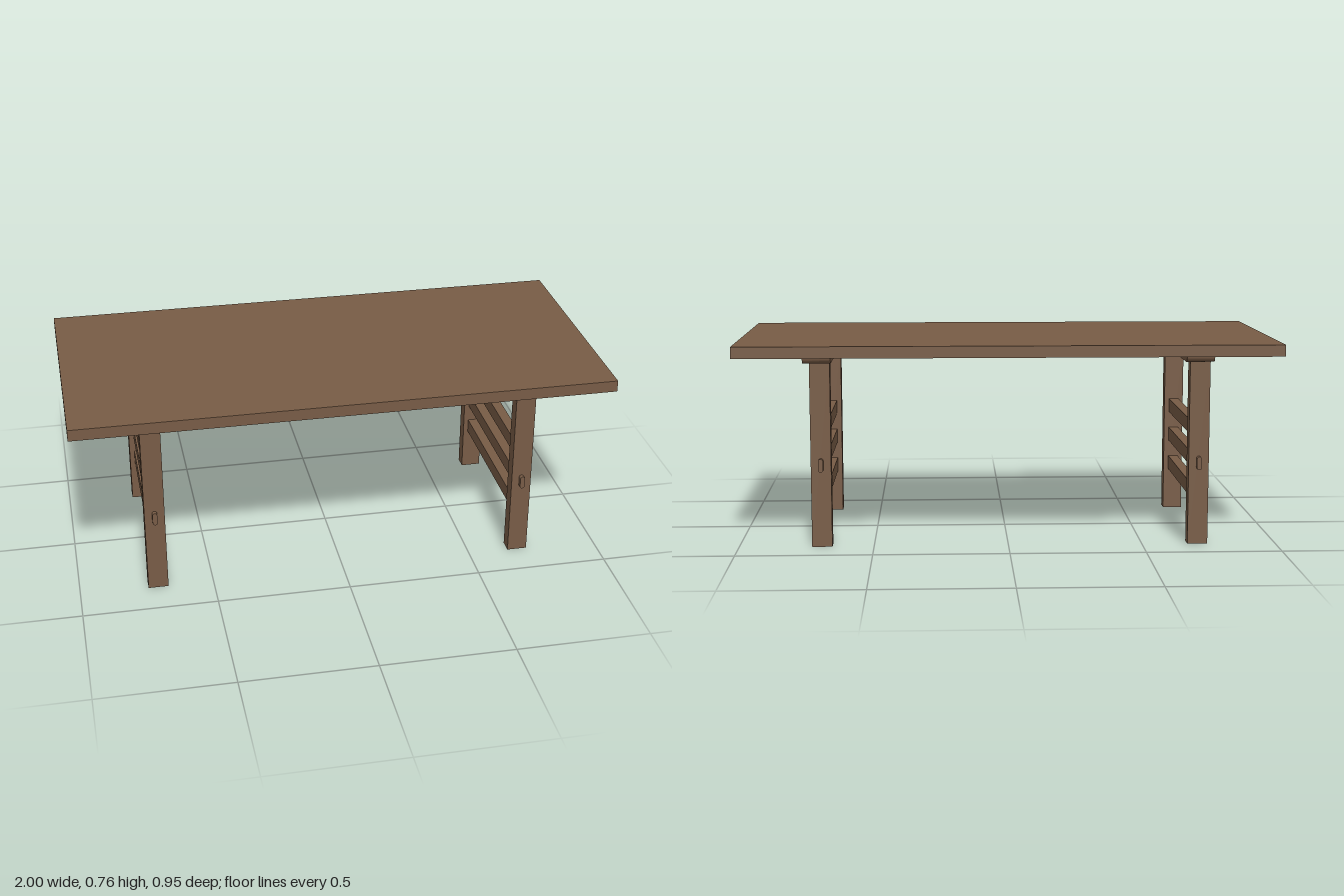
import * as THREE from 'three';

const wood = new THREE.MeshStandardMaterial({ color: 0x785c46 });
wood.name = 'brown wood';

function add(group, name, geometry, x, y, z) {
  const mesh = new THREE.Mesh(geometry, wood);
  mesh.name = name;
  mesh.position.set(x, y, z);
  group.add(mesh);
  return mesh;
}

const box = (w, h, d) => new THREE.BoxGeometry(w, h, d);

// Crosspiece profile in z/y with rounded lower ends, extruded along x
function cleatGeometry(length, height, width) {
  const a = length / 2, r = height;
  const s = new THREE.Shape();
  s.moveTo(-a, height);
  s.absarc(-a + r, r, r, Math.PI, Math.PI * 1.5, false);
  s.absarc(a - r, r, r, Math.PI * 1.5, Math.PI * 2, false);
  s.closePath();
  const g = new THREE.ExtrudeGeometry(s, { depth: width, bevelEnabled: false, curveSegments: 8 });
  return g.translate(0, 0, -width / 2).rotateY(Math.PI / 2);
}

// Upright slot-shaped tenon running along z
function tenonGeometry(width, height, length) {
  const r = width / 2, c = height / 2 - r;
  const s = new THREE.Shape();
  s.absarc(0, c, r, 0, Math.PI, false);
  s.absarc(0, -c, r, Math.PI, Math.PI * 2, false);
  s.closePath();
  const g = new THREE.ExtrudeGeometry(s, { depth: length, bevelEnabled: false, curveSegments: 8 });
  return g.translate(0, 0, -length / 2);
}

export function createModel() {
  const table = new THREE.Group();
  table.name = 'table';

  add(table, 'tableTop', box(2, 0.043, 0.948), 0, 0.7365, 0);

  for (const side of [-1, 1]) {
    const trestle = new THREE.Group();
    trestle.name = side > 0 ? 'leftTrestle' : 'rightTrestle';
    table.add(trestle);

    const legX = side * 0.7 - 0.008;
    add(trestle, 'cleat', cleatGeometry(0.892, 0.023, 0.102), side * 0.697, 0.692, 0.001);

    for (const end of [-1, 1]) {
      add(trestle, end > 0 ? 'frontLeg' : 'backLeg', box(0.075, 0.692, 0.051), legX, 0.346, end * 0.338);
    }

    // Three rails between the legs; the middle one passes through as a tenon
    for (const y of [0.19, 0.309, 0.427]) {
      add(trestle, 'rail', box(0.038, 0.054, 0.626), legX, y, 0);
    }
    add(trestle, 'throughTenon', tenonGeometry(0.018, 0.05, 0.764), legX, 0.308, -0.001);
  }
  return table;
}
